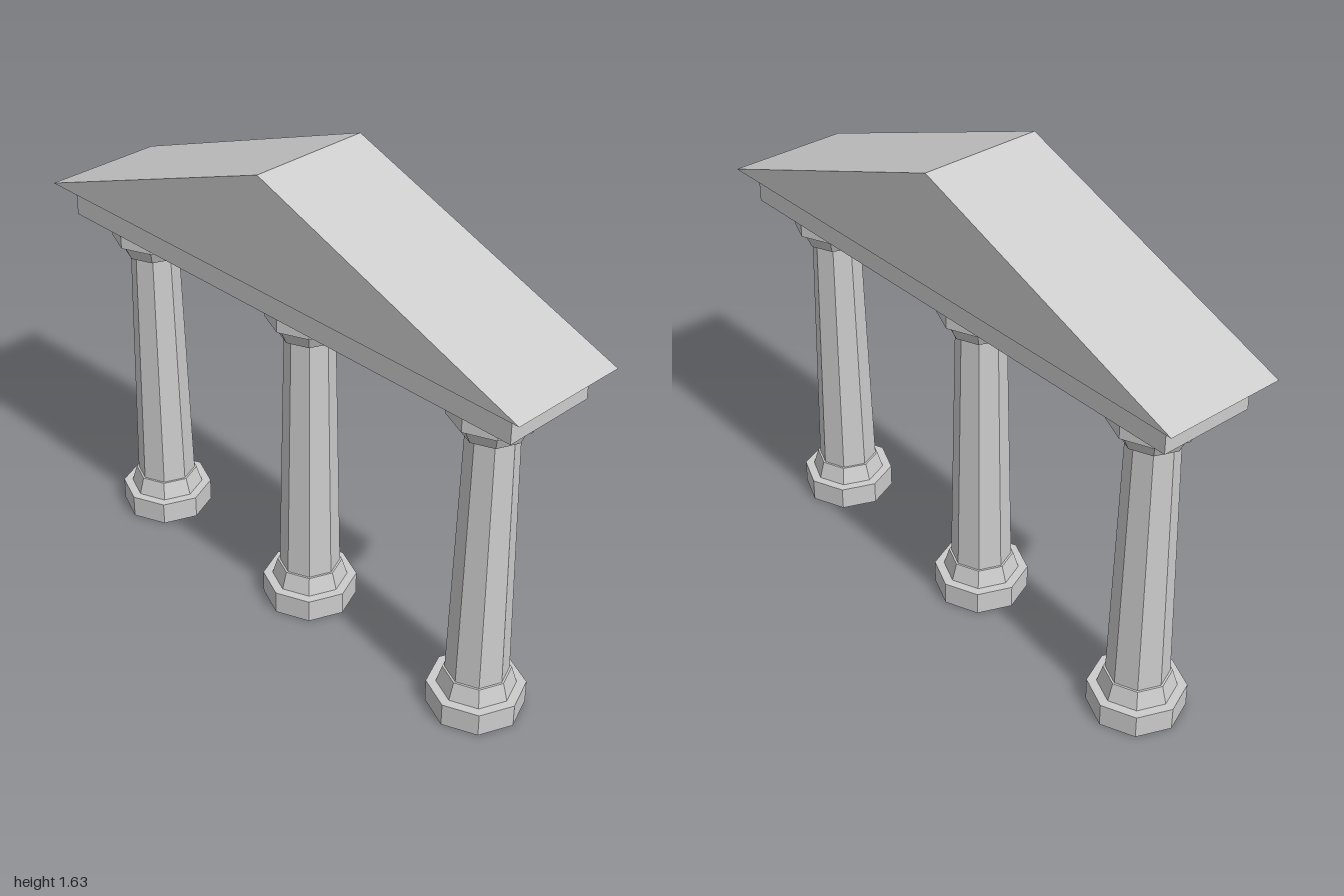
import * as THREE from 'three';

export function createModel() {
  const group = new THREE.Group();
  const stone = new THREE.MeshStandardMaterial({ color: 0xcccccc, flatShading: true });
  stone.name = 'stone';

  const add = (parent, name, geometry, x = 0, y = 0, z = 0) => {
    const mesh = new THREE.Mesh(geometry, stone);
    mesh.name = name;
    mesh.position.set(x, y, z);
    parent.add(mesh);
  };

  // Octagonal column parts: [name, bottom radius, top radius, bottom y, top y]
  const parts = [
    ['plinth', 0.157, 0.157, 0, 0.08],
    ['baseMoulding', 0.126, 0.108, 0.08, 0.14],
    ['shaft', 0.101, 0.081, 0.14, 1.027],
    ['capitalFlare', 0.1, 0.125, 1.027, 1.08],
    ['capitalBlock', 0.139, 0.139, 1.08, 1.145],
  ];
  for (const [side, x] of [['right', -0.747], ['middle', 0], ['left', 0.747]]) {
    const column = new THREE.Group();
    column.name = side + 'Column';
    column.position.x = x;
    for (const [name, r0, r1, y0, y1] of parts) {
      add(column, name, new THREE.CylinderGeometry(r1, r0, y1 - y0, 8), 0, (y0 + y1) / 2);
    }
    group.add(column);
  }

  // Beam resting on the columns
  add(group, 'beam', new THREE.BoxGeometry(1.88, 0.107, 0.326), 0, 1.1985);

  // Triangular gable roof
  const gable = new THREE.Shape();
  gable.moveTo(-1, 0);
  gable.lineTo(1, 0);
  gable.lineTo(0, 0.375);
  gable.closePath();
  const roof = new THREE.ExtrudeGeometry(gable, { depth: 0.416, bevelEnabled: false });
  add(group, 'roof', roof, 0, 1.252, -0.208);

  return group;
}
